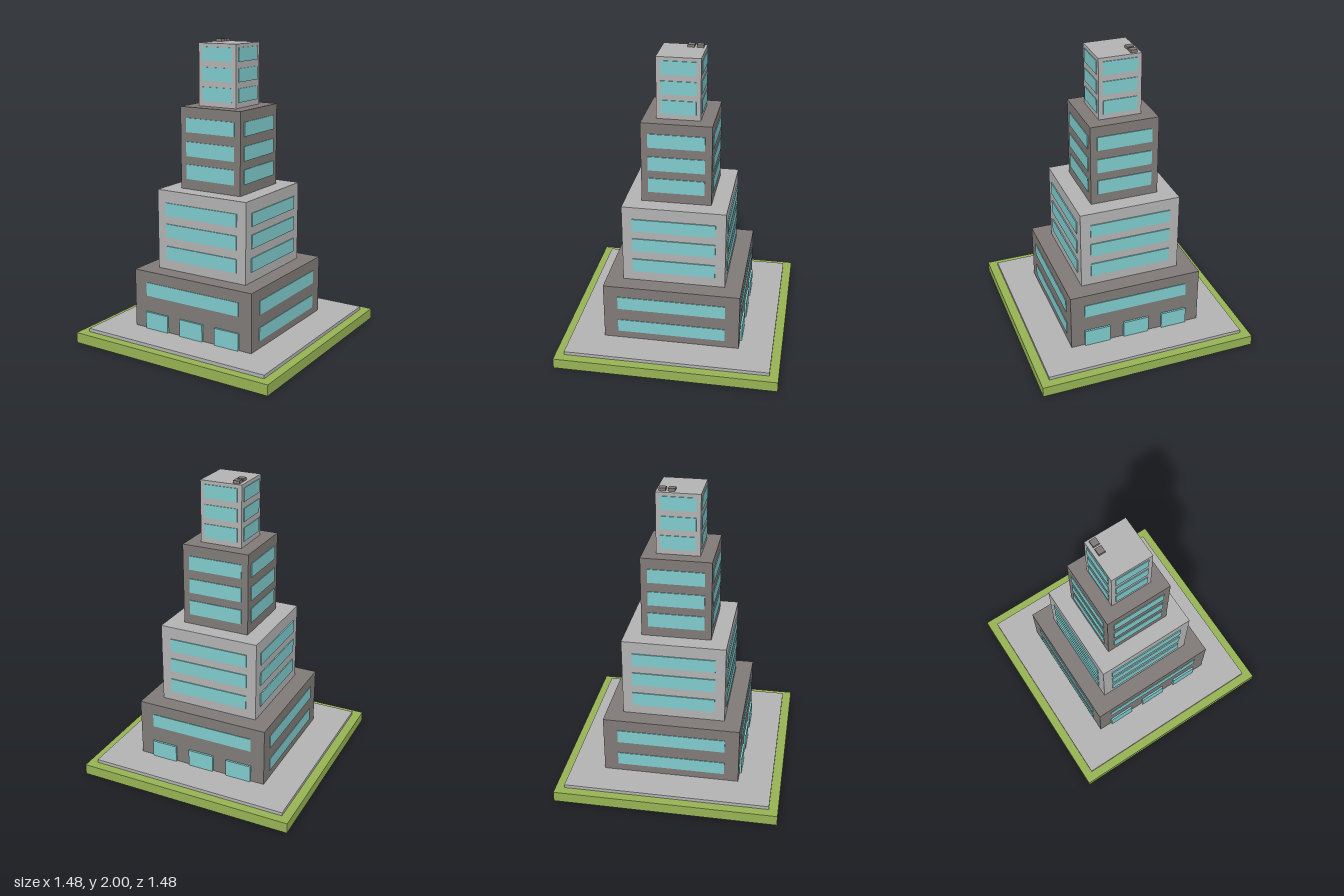
import * as THREE from 'three';

const paint = (color) => new THREE.MeshStandardMaterial({ color, flatShading: true });

export function createModel() {
  const green = paint(0x96b253);
  const light = paint(0xb2b2b2);
  const dark = paint(0x7f7a77);
  const glass = paint(0x7fcacc);
  const model = new THREE.Group();
  model.name = 'steppedTower';

  // Box given by its width, depth and bottom/top heights
  function block(name, parent, mat, w, d, y0, y1, x = 0, z = 0) {
    const mesh = new THREE.Mesh(new THREE.BoxGeometry(w, y1 - y0, d), mat);
    mesh.name = name;
    mesh.position.set(x, (y0 + y1) / 2, z);
    parent.add(mesh);
    return mesh;
  }

  // Lawn and paved plaza
  block('lawn', model, green, 1.48, 1.48, 0, 0.071);
  block('plaza', model, light, 1.36, 1.36, 0.071, 0.094);

  // Tiers: half width, bottom, top, window half width, window bands [bottom, top]
  const tiers = [
    { name: 'baseTier', mat: dark, r: 0.455, y0: 0.094, y1: 0.49, win: 0.36, out: 0.004,
      bands: [[0.145, 0.235], [0.321, 0.413]] },
    { name: 'lowerTier', mat: light, r: 0.341, y0: 0.49, y1: 1.03, win: 0.274, out: 0.007,
      bands: [[0.558, 0.651], [0.712, 0.804], [0.86, 0.947]] },
    { name: 'upperTier', mat: dark, r: 0.229, y0: 1.03, y1: 1.575, win: 0.184, out: 0.005,
      bands: [[1.098, 1.196], [1.251, 1.347], [1.41, 1.503]] },
    { name: 'topTier', mat: light, r: 0.142, y0: 1.575, y1: 1.982, win: 0.113, out: 0.005,
      bands: [[1.611, 1.701], [1.741, 1.828], [1.87, 1.958]] },
  ];

  tiers.forEach((t, level) => {
    const tier = new THREE.Group();
    tier.name = t.name;
    model.add(tier);
    block('walls', tier, t.mat, 2 * t.r, 2 * t.r, t.y0, t.y1);

    // Four facades; even ones face front and back
    for (let side = 0; side < 4; side++) {
      const facade = new THREE.Group();
      facade.name = 'facade';
      facade.rotation.y = side * Math.PI / 2;
      tier.add(facade);
      const entrance = level === 0 && side % 2 === 0;
      t.bands.forEach(([b0, b1], i) => {
        if (entrance && i === 0) {
          // Three glass doors replace the lowest window band
          for (const x of [-0.274, 0, 0.274]) {
            block('glassDoor', facade, glass, 0.178, 0.03, 0.094, 0.21, x, t.r - 0.002);
          }
        } else {
          block('windowBand', facade, glass, 2 * t.win, 0.02, b0, b1, 0, t.r + t.out - 0.01);
        }
      });
    }
  });

  // Rooftop units
  for (const z of [-0.104, -0.045]) {
    block('roofUnit', model, dark, 0.044, 0.044, 1.982, 2, -0.096, z);
  }
  return model;
}
